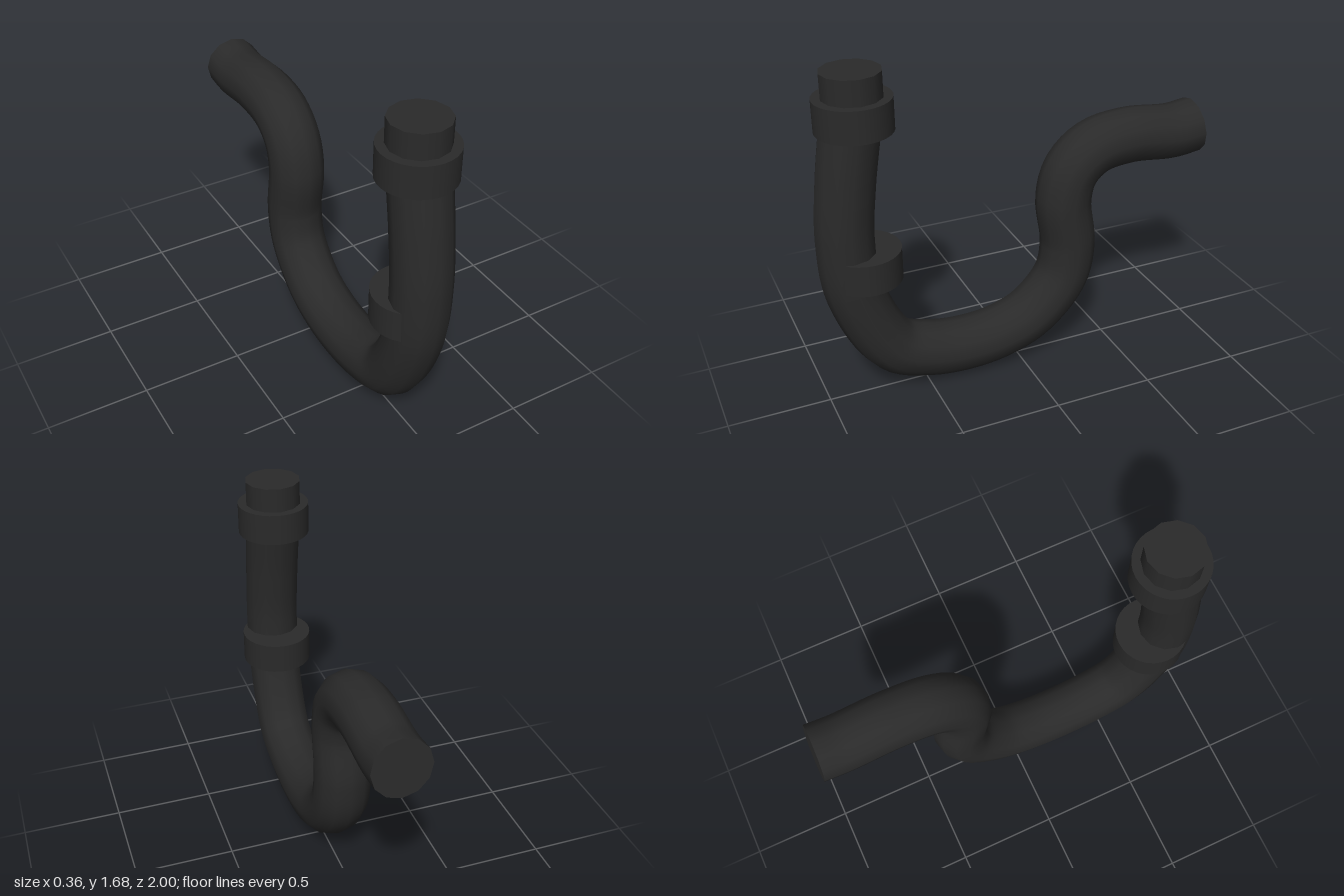
import * as THREE from 'three';

const RADIUS = 0.14;
const SIDES = 12;

export function createModel() {
  const group = new THREE.Group();
  const black = new THREE.MeshStandardMaterial({ color: 0x2a2a2a });
  black.name = 'black plastic';

  const add = (name, geometry, y = 0, z = 0) => {
    const mesh = new THREE.Mesh(geometry, black);
    mesh.name = name;
    mesh.position.set(0, y, z);
    group.add(mesh);
    return mesh;
  };

  // Centre line of the bent pipe as [z, y]
  const path = new THREE.CatmullRomCurve3([
    [0.785, 1.5], [0.802, 1.4], [0.84, 1.15], [0.862, 0.88], [0.833, 0.58],
    [0.665, 0.245], [0.48, 0.165], [0.27, 0.142], [0.08, 0.165], [-0.085, 0.235], [-0.245, 0.41],
    [-0.283, 0.595], [-0.255, 0.85], [-0.295, 1.0], [-0.41, 1.1],
    [-0.6, 1.132], [-0.85, 1.112], [-0.978, 1.126],
  ].map(([z, y]) => new THREE.Vector3(0, y, z)));
  add('bentPipe', new THREE.TubeGeometry(path, 96, RADIUS, SIDES, false));

  // Flat cap closing the outlet
  const end = path.getPoint(1);
  const cap = add('outletCap', new THREE.CircleGeometry(RADIUS, SIDES), end.y, end.z);
  cap.lookAt(end.clone().add(path.getTangent(1)));

  // Upright inlet stub above the upper collar
  add('inletStub', new THREE.CylinderGeometry(RADIUS, RADIUS, 0.24, SIDES), 1.56, 0.78);

  // Coupling collars
  for (const [name, y] of [['upperCollar', 1.48], ['lowerCollar', 0.727]]) {
    add(name, new THREE.CylinderGeometry(0.18, 0.18, 0.157, 32), y, 0.78);
  }
  return group;
}
